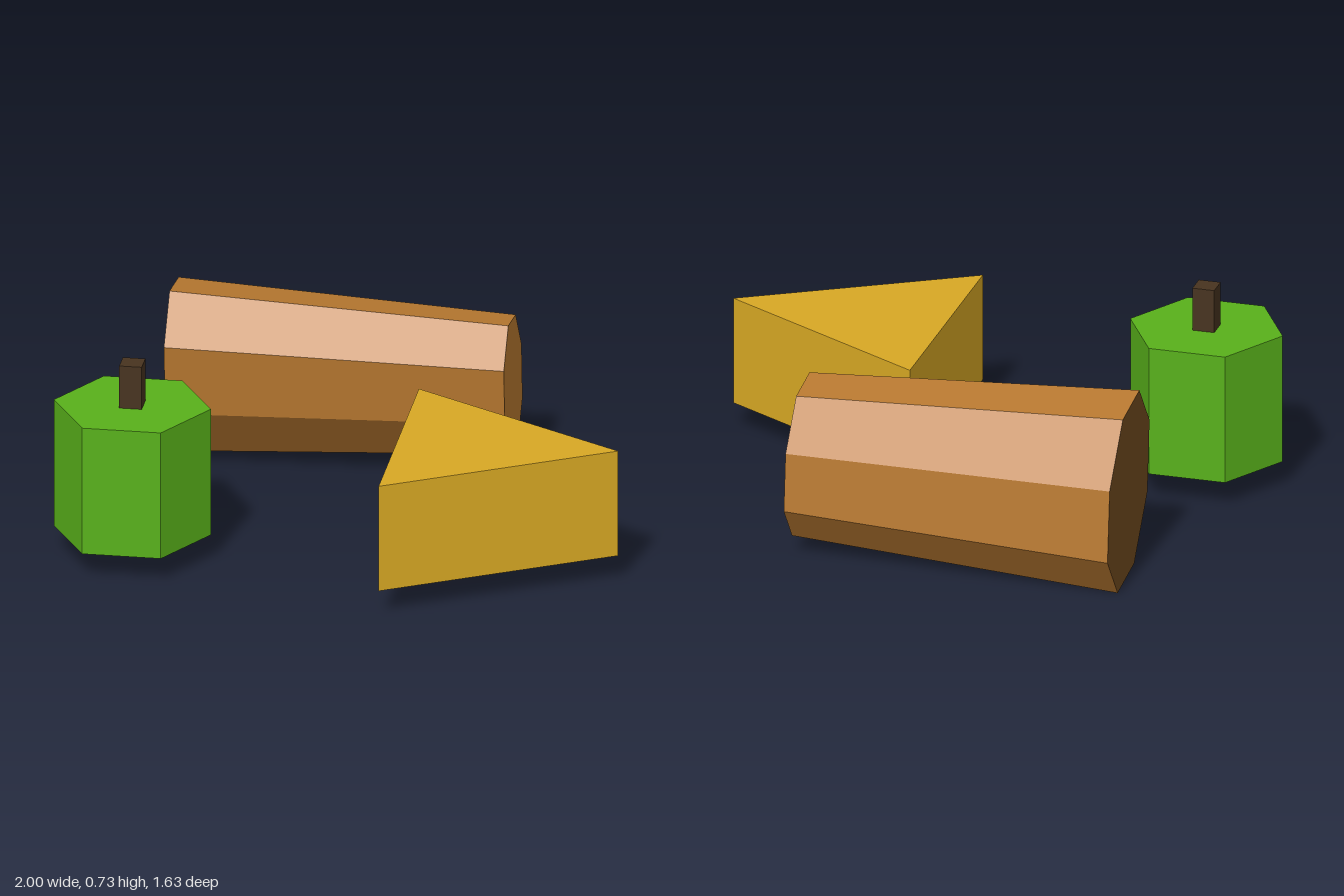
import * as THREE from 'three';
import { mergeGeometries } from 'three/addons/utils/BufferGeometryUtils.js';

const material = (name, color, extra = {}) => {
  const m = new THREE.MeshStandardMaterial({ color, flatShading: true, ...extra });
  m.name = name;
  return m;
};

export function createModel() {
  const model = new THREE.Group();
  model.name = 'blocks';

  const green = material('green', 0x58b01a);
  const darkGreen = material('darkGreen', 0x397211);
  const bark = material('darkBrown', 0x47331f);
  const wood = material('wood', 0xb87930);
  const darkWood = material('darkWood', 0x724b1f);
  const yellow = material('yellow', 0xd8a824, { side: THREE.DoubleSide });

  const add = (name, geometry, mat, x, y, z, parent = model) => {
    const flat = geometry.index ? geometry.toNonIndexed() : geometry;
    flat.computeVertexNormals();
    const mesh = new THREE.Mesh(flat, mat);
    mesh.name = name;
    mesh.position.set(x, y, z);
    parent.add(mesh);
  };

  // Six-sided block with a darker underside and a square stem on top
  const pod = new THREE.Group();
  pod.name = 'stemmedBlock';
  pod.position.set(-0.721, 0.095, 0.404);
  model.add(pod);
  add('hexBody', new THREE.CylinderGeometry(0.279, 0.279, 0.478, 6, 1, false, Math.PI / 2),
    [green, green, darkGreen], 0, 0.239, 0, pod);
  add('stem', new THREE.BoxGeometry(0.08, 0.16, 0.08), bark, 0, 0.558, 0, pod);

  // Triangular wedge, open underneath
  const R = 0.52, H = 0.398;
  const sides = new THREE.CylinderGeometry(R, R, H, 3, 1, true, Math.PI / 2);
  const top = new THREE.CircleGeometry(R, 3).rotateX(-Math.PI / 2).translate(0, H / 2, 0);
  add('wedge', mergeGeometries([sides, top]), yellow, 0.48, 0.095 + H / 2, 0.366);

  // Tapered eight-sided log lying along x, leaning oval section, wide end darker
  const log = new THREE.CylinderGeometry(0.805, 1, 1.2, 8);
  log.applyMatrix4(new THREE.Matrix4().makeBasis(
    new THREE.Vector3(0, 0.332, 0.134),
    new THREE.Vector3(1, 0, 0),
    new THREE.Vector3(0, 0.094, -0.233),
  ));
  add('log', log, [wood, wood, darkWood], -0.12, 0.333, -0.554);

  return model;
}
